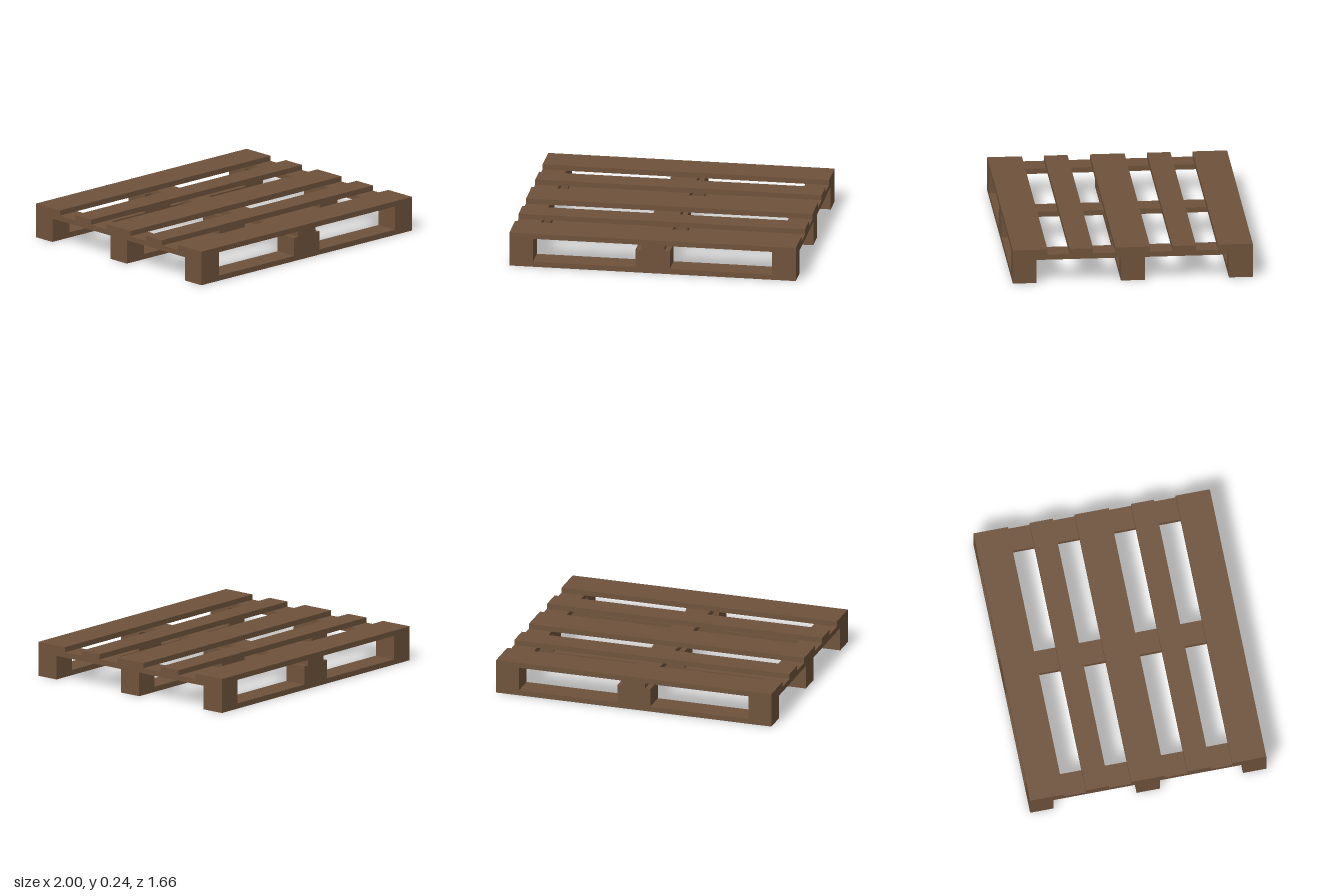
import * as THREE from 'three';

export function createModel() {
  const pallet = new THREE.Group();
  pallet.name = 'pallet';
  const wood = new THREE.MeshStandardMaterial({ color: 0x6f533b });
  wood.name = 'brown wood';

  const HALF_DEPTH = 0.83;
  const RUNNER = 0.165; // width of the ground boards and outer stringers
  // Heights of the four stacked layers
  const Y = [0, 0.037, 0.167, 0.204, 0.241];

  // Plank filling one layer, centred on x and z
  function plank(name, layer, x, z, width, depth) {
    const height = Y[layer + 1] - Y[layer];
    const mesh = new THREE.Mesh(new THREE.BoxGeometry(width, height, depth), wood);
    mesh.position.set(x, Y[layer] + height / 2, z);
    mesh.name = name;
    pallet.add(mesh);
  }

  const edgeX = 1 - RUNNER / 2;
  const edgeZ = HALF_DEPTH - RUNNER / 2;

  // Ground boards with three spacer blocks on each
  for (const z of [-edgeZ, 0, edgeZ]) {
    plank('groundBoard', 0, 0, z, 2, RUNNER);
    plank('centreBlock', 1, 0, z, 0.24, RUNNER);
    for (const side of [-1, 1]) plank('sideBlock', 1, side * edgeX, z, RUNNER, RUNNER);
  }

  // Stringers running front to back
  for (const x of [-edgeX, 0, edgeX]) plank('stringer', 2, x, 0, RUNNER, HALF_DEPTH * 2);

  // Deck: wide boards at the ends and middle, narrow ones between
  plank('wideDeckBoard', 3, 0, 0, 2, 0.24);
  for (const side of [-1, 1]) {
    plank('narrowDeckBoard', 3, 0, side * 0.356, 2, 0.163);
    plank('wideDeckBoard', 3, 0, side * (HALF_DEPTH - 0.12), 2, 0.24);
  }
  return pallet;
}
